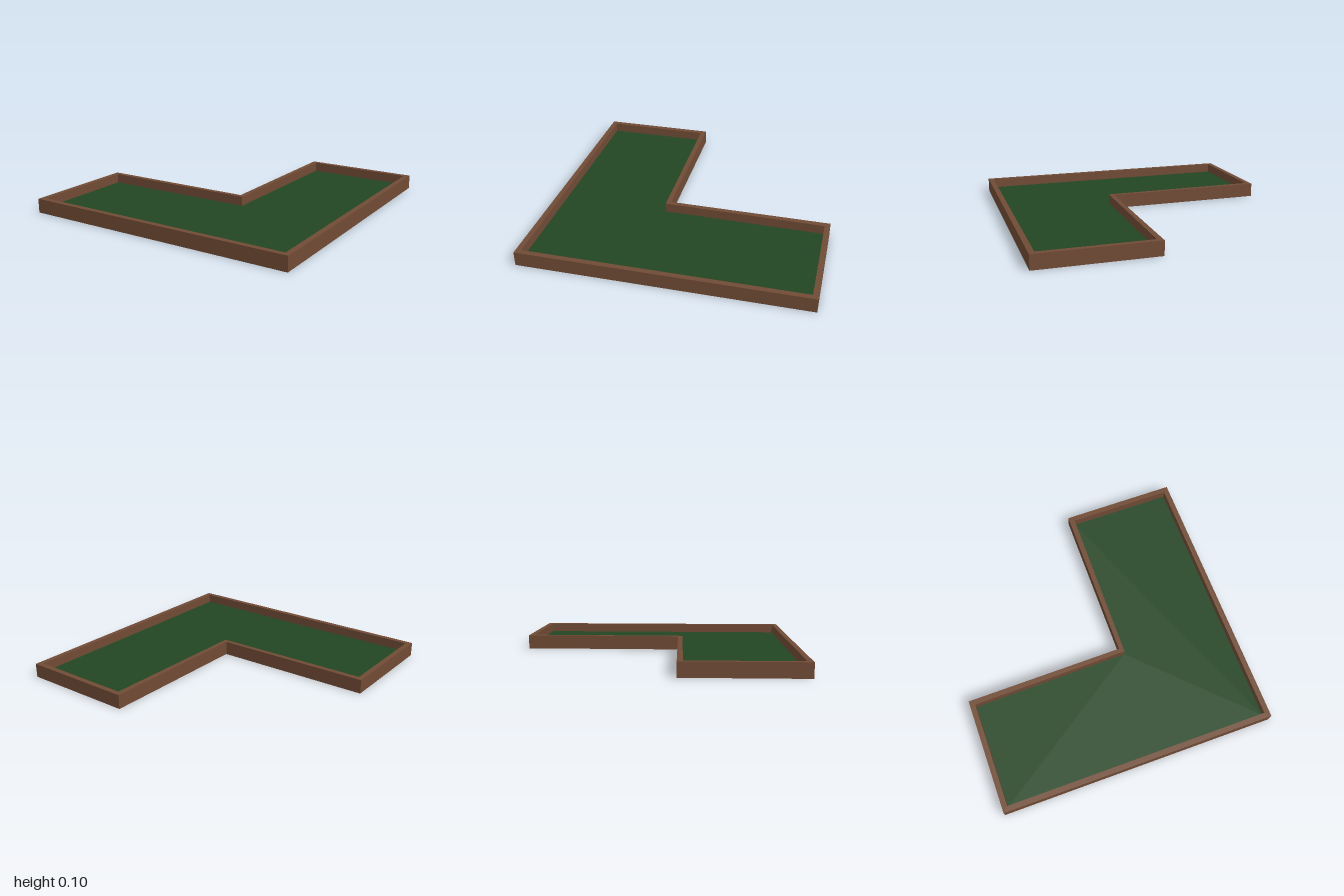
import * as THREE from 'three';

const FLOOR_Y = 0.035, TOP_Y = 0.102;

// L-shaped outlines as [x, z], running counter-clockwise seen from above
const OUTER = [[-1, 1], [1, 1], [1, -1], [0.165, -1], [0.156, 0.156], [-1, 0.165]];
const INNER = [[-0.962, 0.962], [0.962, 0.962], [0.962, -0.962], [0.204, -0.962], [0.188, 0.188], [-0.962, 0.204]];

const toPoints = (loop) => loop.map(([x, z]) => new THREE.Vector2(x, -z));

// Flat horizontal face from an outline, facing up
function flatFace(shape, y) {
  return new THREE.ShapeGeometry(shape).rotateX(-Math.PI / 2).translate(0, y, 0);
}

// Vertical band along a closed outline, facing to the right of its direction
function wallBand(loop, y0, y1) {
  const positions = [];
  loop.forEach(([ax, az], i) => {
    const [bx, bz] = loop[(i + 1) % loop.length];
    positions.push(ax, y0, az, bx, y0, bz, bx, y1, bz);
    positions.push(ax, y0, az, bx, y1, bz, ax, y1, az);
  });
  const geometry = new THREE.BufferGeometry();
  geometry.setAttribute('position', new THREE.Float32BufferAttribute(positions, 3));
  geometry.computeVertexNormals();
  return geometry;
}

export function createModel() {
  const wood = new THREE.MeshStandardMaterial({ color: 0x714b35, side: THREE.DoubleSide });
  wood.name = 'brown wood';
  const felt = new THREE.MeshStandardMaterial({ color: 0x224623, side: THREE.DoubleSide });
  felt.name = 'dark green turf';

  const group = new THREE.Group();
  group.name = 'lShapedTray';
  const add = (name, geometry, material) => {
    const mesh = new THREE.Mesh(geometry, material);
    mesh.name = name;
    group.add(mesh);
  };

  // Border: outer wall to the ground, flat rim, inner wall down to the floor; open underneath
  const rim = new THREE.Shape(toPoints(OUTER));
  rim.holes.push(new THREE.Path(toPoints(INNER)));
  add('outerWall', wallBand(OUTER, 0, TOP_Y), wood);
  add('rim', flatFace(rim, TOP_Y), wood);
  add('innerWall', wallBand([...INNER].reverse(), FLOOR_Y, TOP_Y), wood);

  // Recessed floor
  add('floor', flatFace(new THREE.Shape(toPoints(INNER)), FLOOR_Y), felt);

  return group;
}
